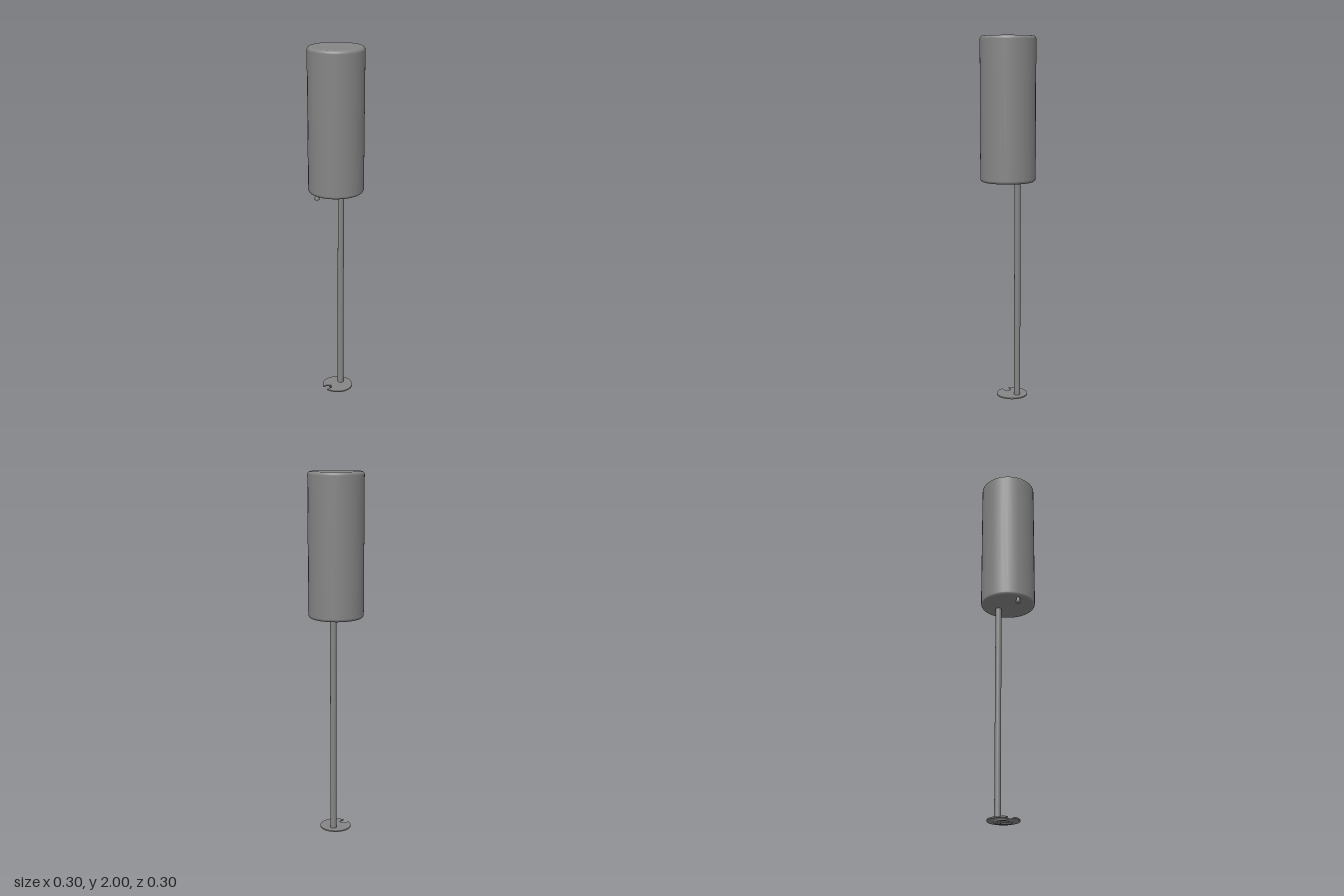
import * as THREE from 'three';

const material = new THREE.MeshStandardMaterial({ color: 0x858585 });

function add(parent, name, geometry, x, y, z) {
  const mesh = new THREE.Mesh(geometry, material);
  mesh.name = name;
  mesh.position.set(x, y, z);
  parent.add(mesh);
  return mesh;
}

// Solid of revolution with rounded top and bottom rims
function roundedCylinder(radius, height, fillet) {
  const points = [new THREE.Vector2(0, 0)];
  for (const [cy, start] of [[fillet, -Math.PI / 2], [height - fillet, 0]]) {
    for (let i = 0; i <= 5; i++) {
      const a = start + (i / 5) * Math.PI / 2;
      points.push(new THREE.Vector2(radius - fillet + fillet * Math.cos(a), cy + fillet * Math.sin(a)));
    }
  }
  points.push(new THREE.Vector2(0, height));
  return new THREE.LatheGeometry(points, 32);
}

// Disc with a slot cut into its front rim, extruded downwards from y = 0
function notchedDisc(radius, halfSlot, slotEnd, thickness) {
  const a = Math.asin(halfSlot / radius);
  const shape = new THREE.Shape();
  shape.absarc(0, 0, radius, Math.PI / 2 + a, Math.PI * 2.5 - a, false);
  shape.lineTo(halfSlot, slotEnd);
  shape.absarc(0, slotEnd, halfSlot, 0, -Math.PI, true);
  shape.closePath();
  const geometry = new THREE.ExtrudeGeometry(shape, { depth: thickness, bevelEnabled: false, curveSegments: 32 });
  return geometry.rotateX(Math.PI / 2);
}

export function createModel() {
  const model = new THREE.Group();
  model.name = 'canisterOnRod';

  // Upper canister
  add(model, 'canister', roundedCylinder(0.151, 0.78, 0.017), 0, 1.22, 0);

  // Off-centre rod from foot to canister
  add(model, 'rod', new THREE.CylinderGeometry(0.017, 0.017, 1.225, 24), -0.005, 0.6155, -0.061);

  // Small outlet below the canister with a wider lip
  const nozzle = [[0, 0], [0.014, 0], [0.014, 0.008], [0.01, 0.013], [0.01, 0.035]]
    .map(([r, y]) => new THREE.Vector2(r, y));
  add(model, 'nozzle', new THREE.LatheGeometry(nozzle, 16), -0.057, 1.193, 0.105);

  // Notched foot plate, its slot turned towards the nozzle side
  const foot = new THREE.Group();
  foot.name = 'foot';
  foot.position.set(-0.005, 0, -0.025);
  foot.rotation.y = -0.48;
  add(foot, 'footPlate', notchedDisc(0.086, 0.019, 0.062, 0.007), 0, 0.016, 0);
  // Raised ring under the plate
  const ring = [[0.036, 0.01], [0.036, 0.002], [0.05, 0.002], [0.05, 0.01]]
    .map(([r, y]) => new THREE.Vector2(r, y));
  const rim = add(foot, 'footRing', new THREE.LatheGeometry(ring, 32), 0, 0, 0);
  rim.material = material.clone();
  rim.material.side = THREE.DoubleSide;
  model.add(foot);

  return model;
}
